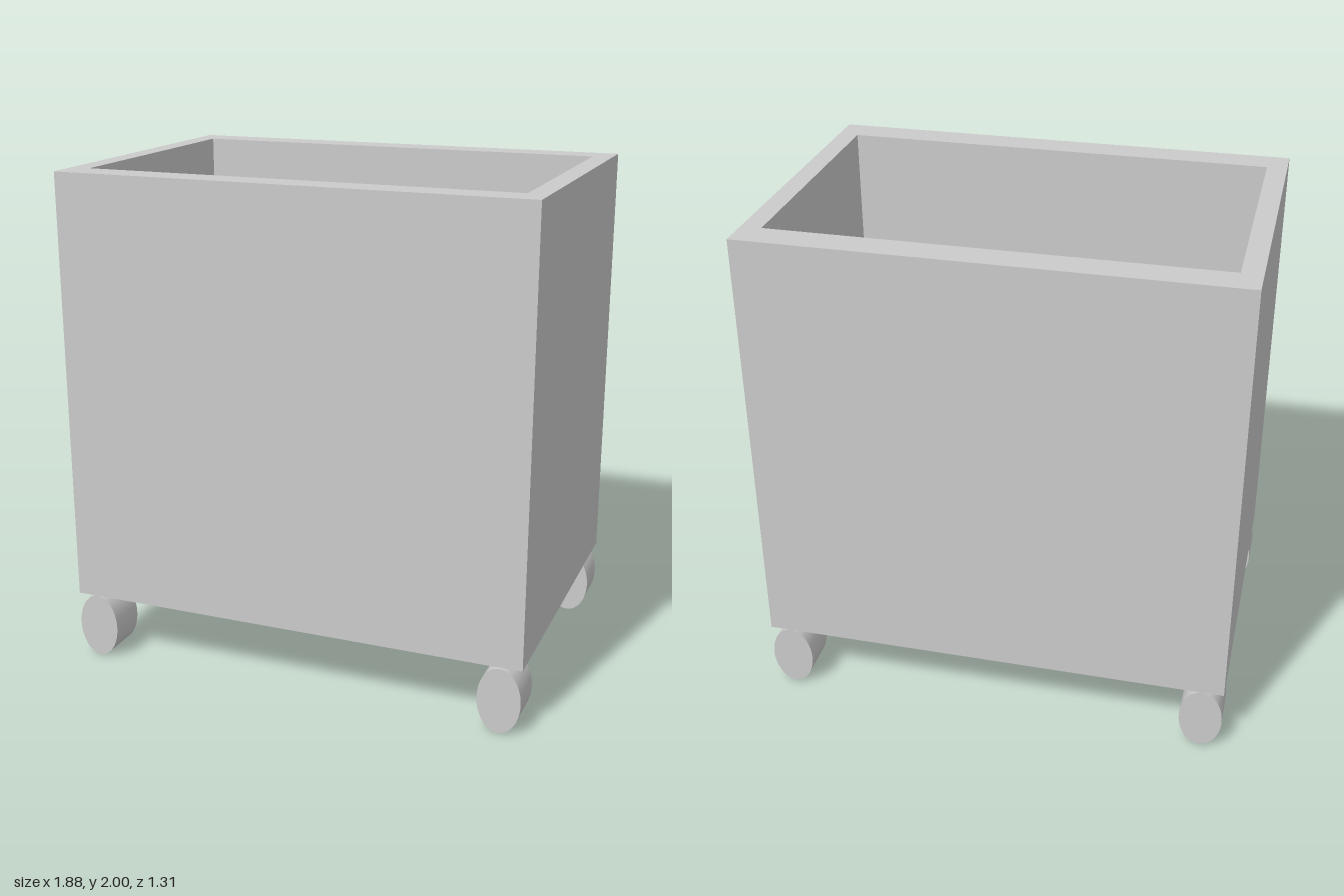
import * as THREE from 'three';

const grey = new THREE.MeshStandardMaterial({ color: 0xcccccc });

function add(group, name, geometry, x = 0, y = 0, z = 0) {
  const mesh = new THREE.Mesh(geometry, grey);
  mesh.name = name;
  mesh.position.set(x, y, z);
  group.add(mesh);
}

// Rectangle outline in the ground plane
function rectangle(Type, x, y0, y1) {
  return new Type().moveTo(-x, y0).lineTo(x, y0).lineTo(x, y1).lineTo(-x, y1).closePath();
}

export function createModel() {
  const group = new THREE.Group();
  group.name = 'wheeledBin';
  const bottom = 0.265, top = 2, floorThickness = 0.13;
  const back = -0.655, front = 0.645, innerBack = -0.53, innerFront = 0.52, innerX = 0.86;

  // Four walls with an open cavity (shape y becomes -z)
  const outline = rectangle(THREE.Shape, 0.94, -front, -back);
  outline.holes.push(rectangle(THREE.Path, innerX, -innerFront, -innerBack));
  const walls = new THREE.ExtrudeGeometry(outline, { depth: top - bottom, bevelEnabled: false });
  walls.rotateX(-Math.PI / 2);
  add(group, 'walls', walls, 0, bottom, 0);

  // Floor closing the cavity
  add(group, 'floor', new THREE.BoxGeometry(innerX * 2, floorThickness, innerFront - innerBack),
    0, bottom + floorThickness / 2, (innerFront + innerBack) / 2);

  // Oval wheels under the corners; the front left one stands slightly proud
  const length = 0.165, radiusX = 0.085, radiusY = bottom / 2;
  const wheel = new THREE.CylinderGeometry(1, 1, length, 48);
  wheel.rotateX(Math.PI / 2).scale(radiusX, radiusY, 1);
  for (const side of [-1, 1]) {
    const sideName = side > 0 ? 'Left' : 'Right';
    const frontEnd = side > 0 ? 0.655 : front;
    add(group, 'front' + sideName + 'Wheel', wheel, side * 0.855, radiusY, frontEnd - length / 2);
    add(group, 'back' + sideName + 'Wheel', wheel, side * 0.855, radiusY, back + length / 2);
  }
  return group;
}
